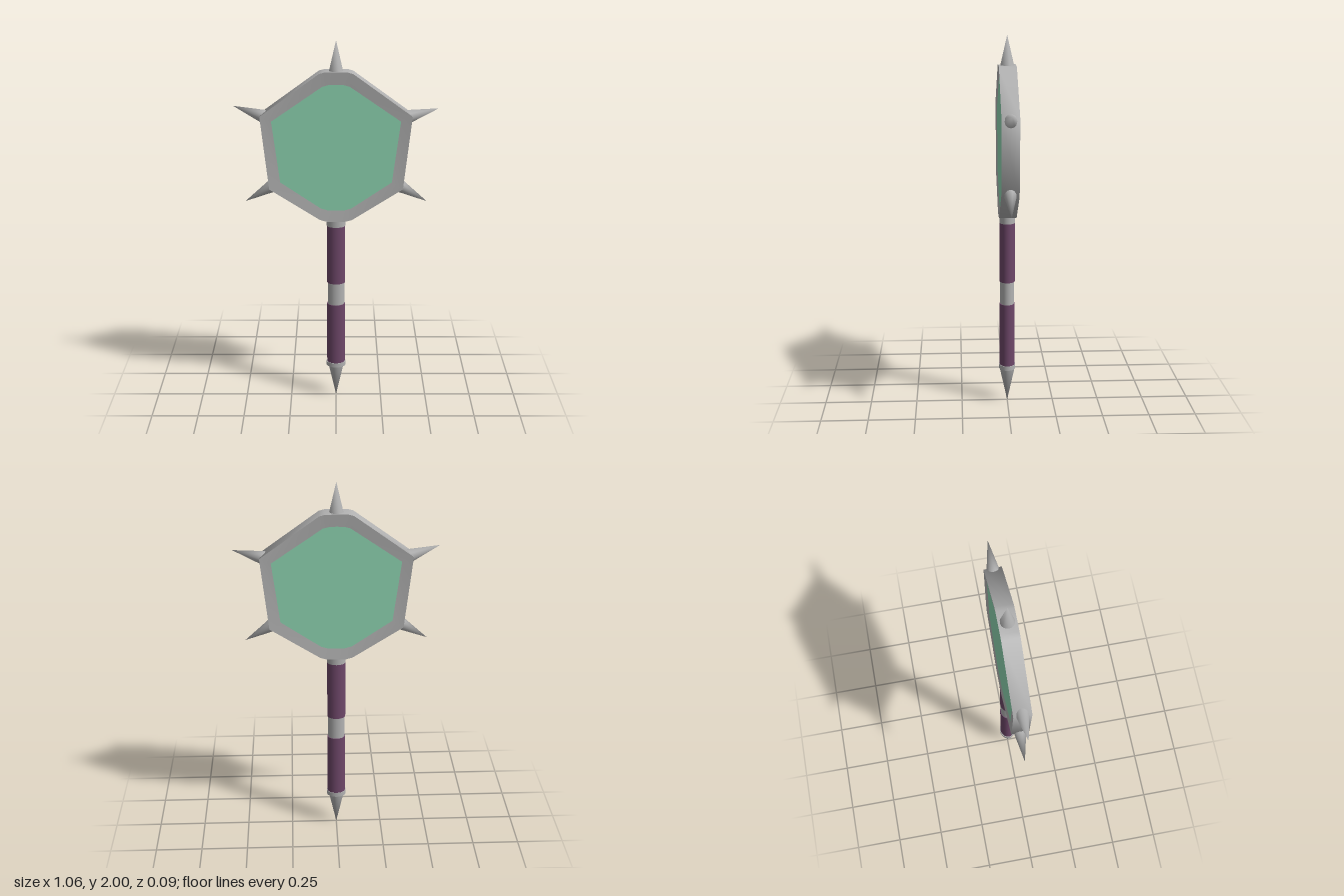
import * as THREE from 'three';
import { toCreasedNormals } from 'three/addons/utils/BufferGeometryUtils.js';

const mat = (name, color) => {
  const m = new THREE.MeshStandardMaterial({ color });
  m.name = name;
  return m;
};

// Half outlines (x >= 0) from top centre to bottom centre
const OUTER = [[0, 1.845], [0.06, 1.844], [0.088, 1.836], [0.393, 1.615], [0.35, 1.225], [0.085, 1.056], [0.05, 1.046], [0, 1.045]];
const INNER = [[0, 1.78], [0.04, 1.778], [0.07, 1.77], [0.334, 1.588], [0.292, 1.262], [0.08, 1.118], [0.045, 1.108], [0, 1.106]];

// Closed clockwise outline from a half outline
const mirrored = half => [...half, ...half.slice(1, -1).reverse().map(([x, y]) => [-x, y])];

// Frame: four loops (outer front, inner front, inner back, outer back) joined into a ring
function frameGeometry() {
  const o = mirrored(OUTER), i = mirrored(INNER), n = o.length;
  const loops = [[o, 0.046], [i, 0.04], [i, -0.04], [o, -0.046]];
  const pos = [], idx = [];
  for (const [pts, z] of loops) for (const [x, y] of pts) pos.push(x, y, z);
  for (let l = 0; l < 4; l++) {
    for (let k = 0; k < n; k++) {
      const a = l * n + k, b = l * n + (k + 1) % n;
      const c = ((l + 1) % 4) * n + k, d = ((l + 1) % 4) * n + (k + 1) % n;
      idx.push(a, c, b, b, c, d);
    }
  }
  const g = new THREE.BufferGeometry();
  g.setAttribute('position', new THREE.Float32BufferAttribute(pos, 3));
  g.setIndex(idx);
  return toCreasedNormals(g, 1.1);
}

// Cone whose tip is shaded round
function spikeGeometry(radius, length) {
  const sides = 20;
  const g = new THREE.ConeGeometry(radius, length, sides);
  for (let i = 0; i <= sides; i++) g.attributes.normal.setXYZ(i, 0, 1, 0);
  return g;
}

export function createModel() {
  const group = new THREE.Group();
  const metal = mat('grey metal', 0xb2b2b2);
  const grip = mat('purple grip', 0x6e4769);
  const glass = mat('green glass', 0x8ed6b2);

  const add = (name, geometry, material) => {
    const mesh = new THREE.Mesh(geometry, material);
    mesh.name = name;
    group.add(mesh);
    return mesh;
  };

  // Head: frame and the pane that fills it
  add('frame', frameGeometry(), metal);
  const shape = new THREE.Shape(mirrored(INNER).map(p => new THREE.Vector2(...p)));
  const pane = new THREE.ExtrudeGeometry(shape, { depth: 0.08, bevelEnabled: false });
  add('pane', pane.translate(0, 0, -0.04), glass);

  // Spikes: cone from base to tip
  const addSpike = (name, base, tip, radius) => {
    const a = new THREE.Vector3(...base, 0), b = new THREE.Vector3(...tip, 0);
    const dir = b.clone().sub(a);
    const spike = add(name, spikeGeometry(radius, dir.length()), metal);
    spike.position.copy(a).add(b).multiplyScalar(0.5);
    spike.quaternion.setFromUnitVectors(new THREE.Vector3(0, 1, 0), dir.normalize());
  };
  addSpike('topSpike', [0, 1.835], [0, 2], 0.038);
  for (const [s, side] of [[1, 'left'], [-1, 'right']]) {
    addSpike(side + 'UpperSpike', [s * 0.365, 1.603], [s * 0.53, s > 0 ? 1.649 : 1.662], 0.037);
    addSpike(side + 'LowerSpike', [s * 0.325, 1.238], [s * 0.48, 1.146], 0.037);
  }
  addSpike('pommelSpike', [0, 0.19], [0, 0], 0.042);

  // Handle: stacked, slightly flattened sections
  const sections = [
    ['pommelCollar', 0.188, 0.212, 0.053, metal],
    ['lowerGrip', 0.212, 0.56, 0.049, grip],
    ['middleBand', 0.56, 0.685, 0.045, metal],
    ['upperGrip', 0.685, 1.01, 0.049, grip],
    ['neckCollar', 1.01, 1.06, 0.05, metal],
  ];
  for (const [name, y0, y1, r, material] of sections) {
    const part = add(name, new THREE.CylinderGeometry(r, r, y1 - y0, 24), material);
    part.position.y = (y0 + y1) / 2;
    part.scale.z = 0.84;
  }
  return group;
}
